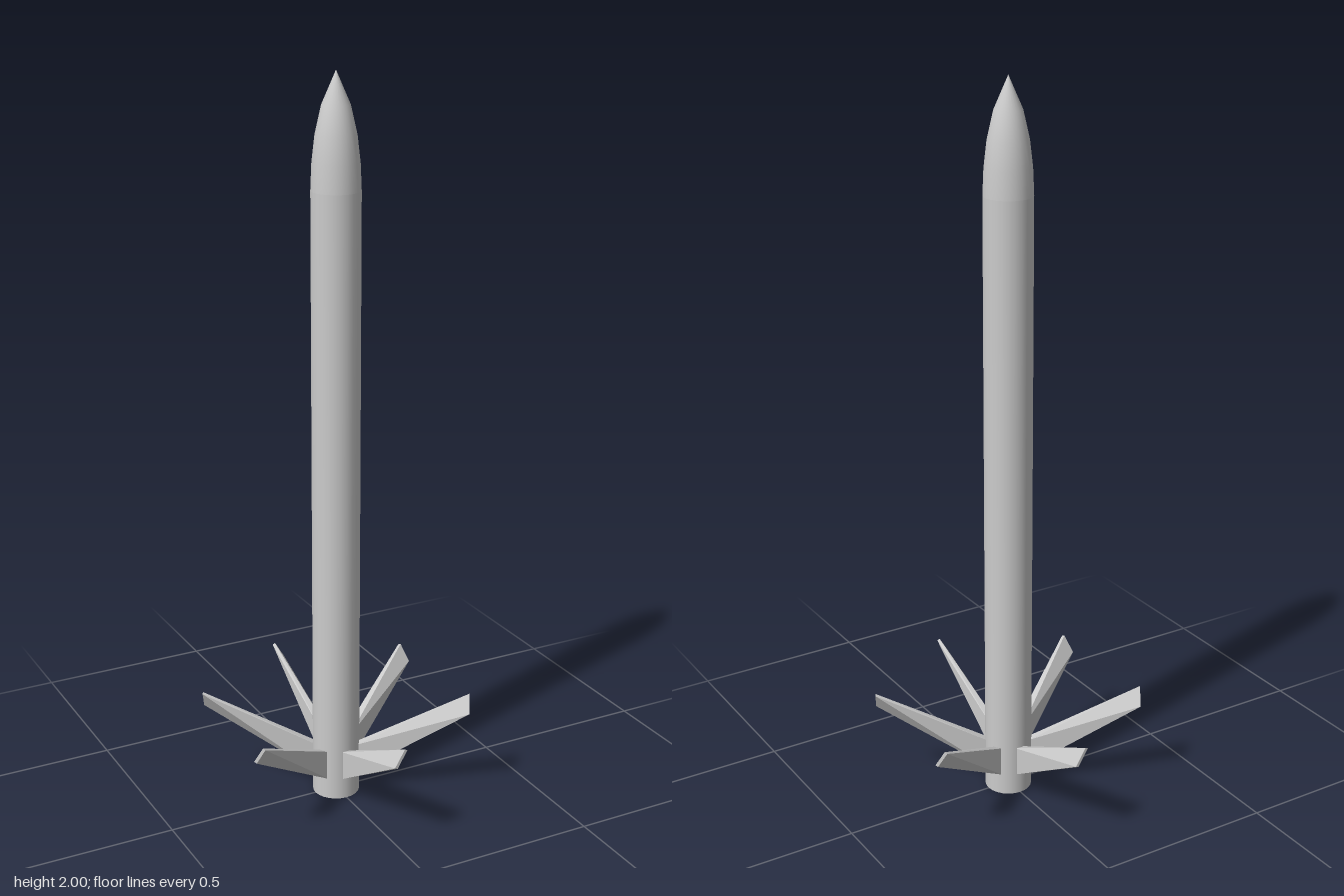
import * as THREE from 'three';

const RADIUS = 0.065;
const SIDES = 24;
const NOSE_BASE = 1.7;

// Twisted blade pointing along +z: upright thick root, thin slanted tip
function finGeometry() {
  // corners of each section, counter-clockwise seen from outside (+z)
  const root = [[-0.011, 0.055], [0.011, 0.055], [0.011, 0.14], [-0.011, 0.14]].map(([x, y]) => [x, y, 0.055]);
  const tip = [[-0.019, 0.247], [-0.011, 0.244], [0.018, 0.292], [0.01, 0.295]].map(([x, y]) => [x, y, 0.37]);
  const positions = [];
  const quad = (a, b, c, d) => positions.push(...a, ...b, ...c, ...a, ...c, ...d);
  for (let i = 0; i < 4; i++) {
    const j = (i + 1) % 4;
    quad(root[i], root[j], tip[j], tip[i]);
  }
  quad(tip[0], tip[1], tip[2], tip[3]);
  quad(root[3], root[2], root[1], root[0]);
  const geometry = new THREE.BufferGeometry();
  geometry.setAttribute('position', new THREE.Float32BufferAttribute(positions, 3));
  geometry.computeVertexNormals();
  return geometry;
}

export function createModel() {
  const model = new THREE.Group();
  const smooth = new THREE.MeshStandardMaterial({ color: 0xcccccc });
  const flat = new THREE.MeshStandardMaterial({ color: 0xcccccc, flatShading: true });

  // Straight tube with a closed base
  const body = new THREE.Mesh(new THREE.CylinderGeometry(RADIUS, RADIUS, NOSE_BASE, SIDES), smooth);
  body.position.y = NOSE_BASE / 2;
  body.name = 'body';
  model.add(body);

  // Pointed ogive nose
  const profile = [[RADIUS, NOSE_BASE], [0.062, 1.77], [0.054, 1.84], [0.037, 1.915], [0, 2]]
    .map(([r, y]) => new THREE.Vector2(r, y));
  const nose = new THREE.Mesh(new THREE.LatheGeometry(profile, SIDES), smooth);
  nose.name = 'nose';
  model.add(nose);

  // Six swept, twisted fins around the base
  const fins = new THREE.Group();
  fins.name = 'fins';
  const blade = finGeometry();
  for (let i = 0; i < 6; i++) {
    const fin = new THREE.Mesh(blade, flat);
    fin.rotation.y = (i * Math.PI) / 3;
    fin.name = `fin${i + 1}`;
    fins.add(fin);
  }
  model.add(fins);
  return model;
}
